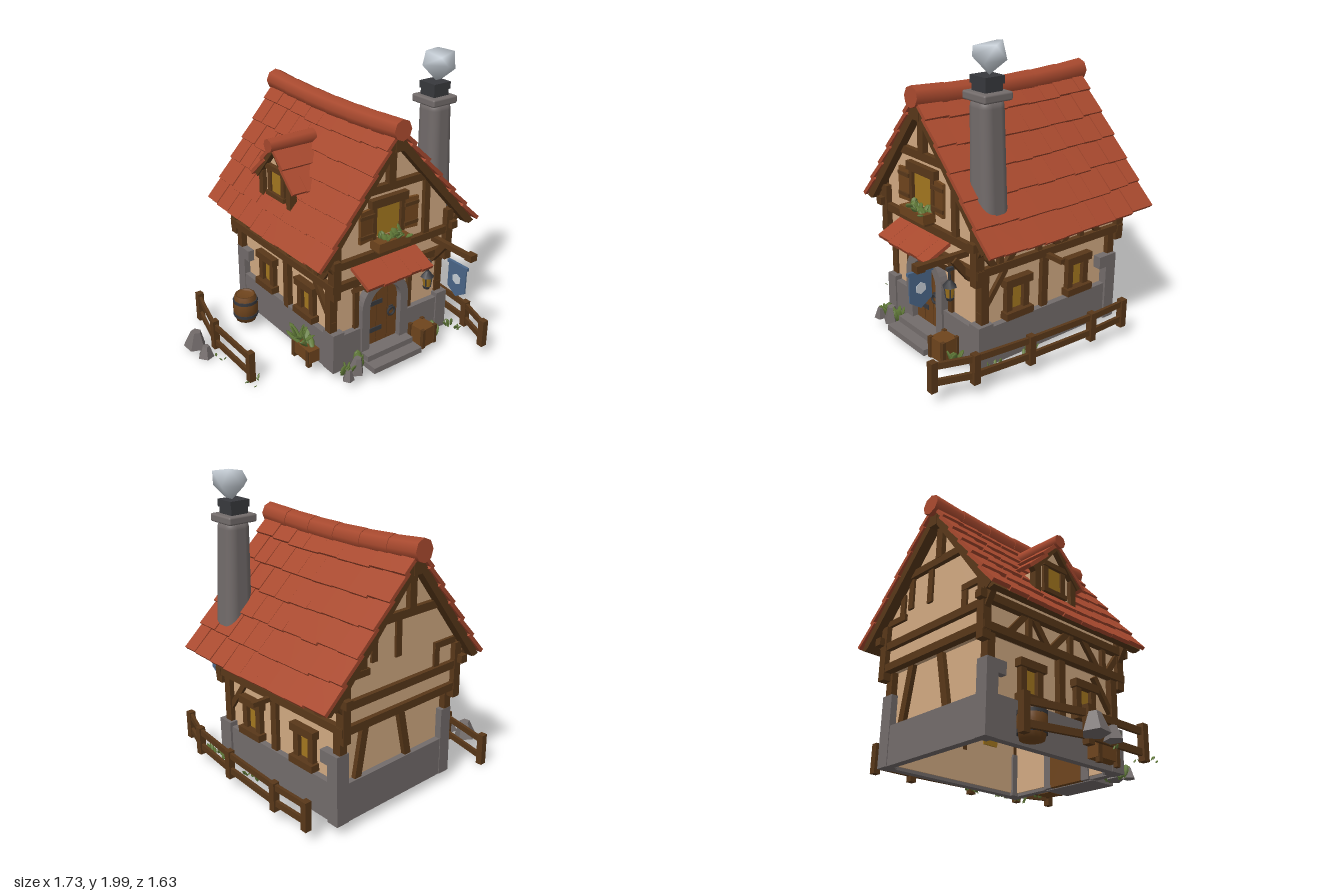
import * as THREE from 'three';
import { mergeGeometries, mergeVertices } from 'three/addons/utils/BufferGeometryUtils.js';
import { RoundedBoxGeometry } from 'three/addons/geometries/RoundedBoxGeometry.js';
import { ConvexGeometry } from 'three/addons/geometries/ConvexGeometry.js';

const V = (x, y, z) => new THREE.Vector3(x, y, z);
const mat = (name, color) => Object.assign(new THREE.MeshStandardMaterial({ color }), { name });

export function createModel() {
  const root = new THREE.Group();
  root.name = 'cottage';
  const red = mat('roofTile', 0xa8492e), plaster = mat('plaster', 0xd2aa82), timber = mat('timber', 0x593819),
    wood = mat('wood', 0x6e441d), stone = mat('stone', 0x736c6b), iron = mat('iron', 0x38393d),
    glass = mat('glass', 0xa3771f), leaf = mat('leaf', 0x617a38), blue = mat('cloth', 0x4a6688), smoke = mat('smoke', 0xc6ced6);
  let seed = 7;
  const rnd = (a = 0, b = 1) => { seed = (seed * 16807) % 2147483647; return a + (b - a) * seed / 2147483647; };

  const add = (name, geo, m, parent = root) => {
    const mesh = new THREE.Mesh(geo, m);
    mesh.name = name;
    parent.add(mesh);
    return mesh;
  };
  const group = (name, x = 0, y = 0, z = 0, ry = 0) => {
    const g = new THREE.Group();
    g.name = name; g.position.set(x, y, z); g.rotation.y = ry;
    root.add(g);
    return g;
  };
  // box given by its limits on each axis
  const box = (name, m, x0, x1, y0, y1, z0, z1, parent) => {
    const b = add(name, new THREE.BoxGeometry(x1 - x0, y1 - y0, z1 - z0), m, parent);
    b.position.set((x0 + x1) / 2, (y0 + y1) / 2, (z0 + z1) / 2);
    return b;
  };
  // square timber between two points
  const beam = (name, a, b, w = 0.045, d = w, m = timber, parent = root) => {
    const s = add(name, new THREE.BoxGeometry(w, d, a.distanceTo(b)), m, parent);
    s.position.copy(a).add(b).multiplyScalar(0.5);
    parent.updateWorldMatrix(true, false);
    s.lookAt(parent.localToWorld(b.clone()));
    return s;
  };
  const extrude = (name, m, shape, depth, parent) =>
    add(name, new THREE.ExtrudeGeometry(shape, { depth, bevelEnabled: false, curveSegments: 10 }), m, parent);
  const poly = pts => new THREE.Shape(pts.map(p => new THREE.Vector2(...p)));

  // overlapping tiles laid over a slope
  const tiles = (name, start, down, along, rows, cols, sag = () => 0) => {
    const X = down.clone().normalize(), Z = along.clone().normalize(), Y = Z.clone().cross(X);
    const len = down.length() / rows, wid = along.length() / cols, list = [];
    for (let r = 0; r < rows; r++) {
      const cuts = [0];
      for (let c = 1; c < cols; c++) cuts.push((c + (r % 2 ? 0.22 : -0.22) + rnd(-0.12, 0.12)) * wid);
      cuts.push(along.length());
      for (let c = 0; c < cols; c++) {
        const g = new THREE.BoxGeometry(len * 1.18, 0.024, cuts[c + 1] - cuts[c] - 0.0005);
        g.rotateZ(0.1 + rnd(-0.012, 0.012));
        g.rotateY(rnd(-0.015, 0.015));
        g.applyMatrix4(new THREE.Matrix4().makeBasis(X, Y, Z));
        const p = start.clone().addScaledVector(X, (r + 0.5) * len + rnd(-0.006, 0.006))
          .addScaledVector(Z, (cuts[c] + cuts[c + 1]) / 2).addScaledVector(Y, -0.012);
        g.translate(p.x, p.y + sag(p.z), p.z);
        list.push(g);
      }
    }
    return add(name, mergeGeometries(list), red);
  };

  // lower walls and stone footing, open underneath
  box('lowerFrontWall', plaster, -0.24, 0.62, 0.1, 0.7, 0.38, 0.4);
  box('lowerBackWall', plaster, -0.24, 0.62, 0.1, 0.7, -0.64, -0.62);
  for (const x of [-0.24, 0.6]) box('lowerSideWall', plaster, x, x + 0.02, 0.1, 0.7, -0.63, 0.39);
  box('frontFooting', stone, -0.28, -0.05, 0.08, 0.33, 0.39, 0.44);
  box('frontFooting', stone, 0.31, 0.66, 0.08, 0.33, 0.39, 0.44);
  box('backFooting', stone, -0.28, 0.66, 0.08, 0.33, -0.68, -0.63);
  box('leftFooting', stone, -0.28, -0.23, 0.08, 0.33, -0.67, 0.43);
  box('rightFooting', stone, 0.61, 0.66, 0.08, 0.33, -0.67, 0.43);
  for (const [x0, x1] of [[-0.285, -0.2], [0.585, 0.675]]) {
    box('frontQuoin', stone, x0, x1, 0.08, 0.36, 0.34, 0.45);
    box('backQuoin', stone, x0, x1, 0.08, 0.45, -0.685, -0.6);
    box('backQuoinTop', stone, x0, x1, 0.45, 0.53, -0.685, -0.54);
  }

  // upper storey with both gables
  const gable = poly([[-0.27, 0.7], [0.64, 0.7], [0.64, 1.03], [0.15, 1.56], [-0.27, 1.03]]);
  extrude('frontGable', plaster, gable, 0.02).position.z = 0.41;
  extrude('backGable', plaster, gable, 0.02).position.z = -0.7;
  for (const x of [-0.27, 0.62]) box('upperSideWall', plaster, x, x + 0.02, 0.7, 1.02, -0.69, 0.42);
  box('upperFloor', plaster, -0.27, 0.64, 0.68, 0.7, -0.69, 0.42);

  // main timber frame
  for (const z of [0.44, -0.705]) {
    beam('floorBeam', V(-0.3, 0.695, z), V(0.68, 0.695, z), 0.05);
    beam('tieBeam', V(-0.3, 0.84, z), V(0.67, 0.84, z), 0.05);
    beam('collarBeam', V(-0.1, 1.27, z), V(0.42, 1.27, z), 0.05);
    beam('kingPost', V(0.14, 1.29, z), V(0.14, 1.53, z), 0.055);
    const zr = z > 0 ? 0.475 : -0.745;
    beam('rightRafter', V(0.15, 1.575, zr), V(0.78, 0.88, zr), 0.06, 0.05);
    beam('leftRafter', V(0.15, 1.575, zr), V(-0.38, 0.89, zr), 0.06, 0.05);
    box('apexBlock', timber, 0.12, 0.19, 1.5, 1.58, zr - 0.035, zr + 0.035);
    for (const x of [-0.27, 0.645]) {
      box('upperCornerPost', timber, x - 0.028, x + 0.028, 0.62, 0.98, z - 0.03, z + 0.03);
      const s = x < 0 ? -1 : 1;
      beam('eaveBracket', V(x, 0.8, z), V(x + s * 0.09, 0.95, z), 0.04);
    }
  }
  for (const [x, s] of [[-0.28, -1], [0.65, 1]]) {
    beam('sideFloorBeam', V(x, 0.7, -0.73), V(x, 0.7, 0.47), 0.05);
    beam('sidePlate', V(x + s * 0.01, 0.875, -0.77), V(x + s * 0.01, 0.875, 0.5), 0.05);
    const braces = [[0.32, 0.43], [0.23, 0.1], [-0.19, -0.05], [-0.21, -0.33], [-0.53, -0.4]];
    for (const [a, b] of braces) beam('sideBrace', V(x, 0.71, a), V(x, 0.86, b), 0.03, 0.04);
    for (const z of [0.28, -0.02, -0.37]) beam('sideStud', V(x, 0.7, z), V(x, 0.87, z), 0.035);
    const xl = x - s * 0.025;
    beam('lowerMidPost', V(xl, 0.31, -0.085), V(xl, 0.68, -0.085), 0.05);
    beam('lowerFrontPost', V(xl, 0.33, 0.385), V(xl, 0.68, 0.385), 0.055);
    beam('lowerBackPost', V(xl, 0.33, -0.655), V(xl, 0.68, -0.655), 0.055);
    beam('lowerBrace', V(xl, 0.42, 0.4), V(xl, 0.66, 0.22), 0.035);
  }
  beam('beamEnd', V(0.62, 0.68, -0.08), V(0.8, 0.68, -0.08), 0.03);
  for (const x of [-0.08, 0.36]) beam('doorPost', V(x, 0.33, 0.405), V(x, 0.68, 0.405), 0.035);
  beam('gableStud', V(0.45, 0.85, 0.435), V(0.44, 1.28, 0.435), 0.045);
  for (const [x, y0, y1] of [[0.5, 0.98, 1.16], [0.23, 1.02, 1.27], [-0.1, 0.86, 1.02], [0.42, 1.04, 1.27]])
    beam('backStud', V(x, y0, -0.7), V(x, y1, -0.7), 0.045, 0.03);
  beam('backRail', V(0.46, 1, -0.7), V(0.64, 1, -0.7), 0.04);
  beam('backRail', V(-0.26, 1, -0.7), V(-0.08, 1, -0.7), 0.04);
  beam('backBrace', V(0.5, 0.32, -0.645), V(0.43, 0.69, -0.645), 0.05);
  beam('backBrace', V(0.08, 0.32, -0.645), V(0.16, 0.69, -0.645), 0.05);

  // main roof
  const sag = z => -0.025 * (1 - ((z + 0.135) / 0.66) ** 2);
  const under = poly([[0.15, 1.61], [0.83, 0.865], [0.79, 0.85], [0.15, 1.555], [-0.38, 0.87], [-0.42, 0.88]]);
  extrude('roofBoards', timber, under, 1.27).position.z = -0.77;
  tiles('rightRoof', V(0.15, 1.665, -0.79), V(0.69, -0.765, 0), V(0, 0, 1.31), 6, 9, sag);
  tiles('leftRoof', V(0.15, 1.665, 0.52), V(-0.58, -0.755, 0), V(0, 0, -1.31), 6, 9, sag);
  for (let i = 0; i < 6; i++) {
    const z0 = -0.81 + i * 0.223, z1 = z0 + 0.228;
    const cap = add('ridgeTile', new THREE.CylinderGeometry(0.066, 0.07, z1 - z0, 8), red);
    cap.rotation.x = Math.PI / 2 + (sag(z0) - sag(z1)) / 0.223;
    cap.position.set(0.15, 1.638 + (sag(z0) + sag(z1)) / 2, (z0 + z1) / 2);
  }

  // dormer on the left slope
  const dormer = group('dormer', -0.27, 0, -0.155, -Math.PI / 2);
  extrude('dormerWall', plaster, poly([[-0.16, 1], [0.16, 1], [0.16, 1.22], [0, 1.41], [-0.16, 1.22]]), 0.02, dormer).position.z = -0.02;
  box('dormerGlass', glass, -0.06, 0.06, 1.1, 1.27, 0, 0.008, dormer);
  box('dormerSill', timber, -0.1, 0.1, 1.08, 1.11, -0.02, 0.03, dormer);
  for (const s of [-1, 1]) {
    box('dormerJamb', timber, s * 0.075 - 0.018, s * 0.075 + 0.018, 1.08, 1.29, -0.02, 0.02, dormer);
    box('dormerPost', timber, s * 0.155 - 0.022, s * 0.155 + 0.022, 1, 1.23, -0.02, 0.03, dormer);
    beam('dormerRafter', V(0, 1.42, 0.02), V(s * 0.2, 1.19, 0.02), 0.04, 0.04, timber, dormer);
    box('dormerCheek', plaster, s * 0.15 - 0.01, s * 0.15 + 0.01, 1, 1.2, -0.2, 0, dormer);
  }
  box('dormerLintel', timber, -0.1, 0.1, 1.26, 1.295, -0.02, 0.03, dormer);
  tiles('dormerRoof', V(0.06, 1.46, -0.155), V(0, -0.26, 0.23), V(-0.38, 0, 0), 2, 3);
  tiles('dormerRoof', V(-0.32, 1.46, -0.155), V(0, -0.26, -0.23), V(0.38, 0, 0), 2, 3);
  const dormerRidge = add('dormerRidge', new THREE.CylinderGeometry(0.045, 0.05, 0.34, 8), red);
  dormerRidge.rotation.z = Math.PI / 2;
  dormerRidge.position.set(-0.17, 1.445, -0.155);

  // leaning chimney, pot and smoke
  const stack = new RoundedBoxGeometry(0.18, 0.84, 0.18, 4, 0.06), sp = stack.attributes.position;
  for (let i = 0; i < sp.count; i++) {
    const t = sp.getY(i) / 0.84 + 0.5, k = 1.1 - 0.2 * t;
    sp.setXYZ(i, sp.getX(i) * k + 0.615 - 0.03 * t, sp.getY(i) + 1.28, sp.getZ(i) * (1.02 - 0.1 * t) + 0.33);
  }
  add('chimneyStack', stack, stone);
  add('chimneyCap', new RoundedBoxGeometry(0.2, 0.05, 0.2, 2, 0.012), stone).position.set(0.583, 1.7, 0.325);
  box('chimneyPot', iron, 0.52, 0.64, 1.72, 1.77, 0.265, 0.385);
  box('chimneyPotRim', iron, 0.513, 0.647, 1.765, 1.81, 0.258, 0.392);
  const puff = new ConvexGeometry([V(0.59, 1.81, 0.32), V(0.62, 1.82, 0.34), V(0.49, 1.915, 0.3), V(0.56, 1.985, 0.25), V(0.55, 1.97, 0.4),
    V(0.64, 2, 0.27), V(0.695, 1.985, 0.36), V(0.69, 1.9, 0.28), V(0.66, 1.89, 0.41), V(0.58, 1.92, 0.43), V(0.56, 1.89, 0.245)]);
  puff.deleteAttribute('normal');
  const softPuff = mergeVertices(puff);
  softPuff.computeVertexNormals();
  add('smokePuff', softPuff, smoke);

  // doorway
  const arch = (r, inner) => {
    const s = new THREE.Shape().moveTo(-r, 0.08).lineTo(-r, 0.46).absarc(0, 0.46, r, Math.PI, 0, true).lineTo(r, 0.08);
    if (inner) s.lineTo(inner, 0.08).lineTo(inner, 0.46).absarc(0, 0.46, inner, 0, Math.PI, false).lineTo(-inner, 0.08);
    return s;
  };
  const door = group('doorway', 0.13, 0, 0);
  extrude('doorArch', stone, arch(0.19, 0.128), 0.085, door).position.z = 0.37;
  extrude('door', wood, arch(0.13), 0.05, door).position.z = 0.365;
  for (const x of [-0.045, 0.045]) box('plankGap', timber, x - 0.002, x + 0.002, 0.16, 0.56, 0.415, 0.417, door);
  for (const y of [0.46, 0.26]) box('hinge', iron, -0.125, 0, y - 0.016, y + 0.016, 0.415, 0.422, door);
  add('doorRing', new THREE.TorusGeometry(0.028, 0.008, 6, 14), iron, door).position.set(0.075, 0.355, 0.425);
  box('doorRingPlate', iron, 0.06, 0.09, 0.36, 0.395, 0.415, 0.423, door);
  box('upperStep', stone, -0.19, 0.19, 0.08, 0.155, 0.4, 0.52, door);
  box('lowerStep', stone, -0.2, 0.2, 0.075, 0.115, 0.4, 0.6, door);

  // awning over the door
  tiles('awning', V(0.38, 0.815, 0.42), V(0, -0.1, 0.168), V(-0.52, 0, 0), 1, 5);
  for (const x of [-0.1, 0.34]) {
    beam('awningStrut', V(x, 0.6, 0.41), V(x, 0.71, 0.55), 0.03);
    beam('awningArm', V(x, 0.78, 0.42), V(x, 0.69, 0.575), 0.03);
  }
  beam('awningRail', V(-0.13, 0.695, 0.565), V(0.37, 0.695, 0.565), 0.025);

  // gable window with shutters and flower box
  const win = group('gableWindow', 0.13, 0, 0.43);
  box('windowGlass', glass, -0.105, 0.105, 0.95, 1.17, 0, 0.008, win);
  box('windowLintel', timber, -0.145, 0.145, 1.155, 1.21, 0, 0.04, win);
  for (const s of [-1, 1]) {
    box('windowJamb', timber, s * 0.112 - 0.015, s * 0.112 + 0.015, 0.94, 1.16, 0, 0.03, win);
    const sh = box('shutter', wood, s * 0.175 - 0.055, s * 0.175 + 0.055, 0.945, 1.155, 0.01, 0.03, win);
    sh.rotation.y = s * -0.15;
    for (const y of [0.985, 1.115]) box('shutterBar', timber, s * 0.175 - 0.055, s * 0.175 + 0.055, y - 0.012, y + 0.012, 0.03, 0.042, win);
  }
  box('flowerBox', wood, -0.13, 0.12, 0.885, 0.945, 0.01, 0.1, win);
  for (const x of [-0.1, 0.09]) box('flowerBoxFoot', timber, x - 0.015, x + 0.015, 0.865, 0.885, 0.01, 0.08, win);

  // side windows
  for (const [x, z, ry] of [[0.62, 0.135, 1], [0.62, -0.365, 1], [-0.24, 0.13, -1], [-0.24, -0.33, -1]]) {
    const g = group('sideWindow', x, 0, z, ry * Math.PI / 2);
    box('windowGlass', glass, -0.06, 0.06, 0.38, 0.55, -0.03, 0.008, g);
    box('windowLintel', timber, -0.105, 0.105, 0.545, 0.595, -0.01, 0.05, g);
    box('windowSill', timber, -0.105, 0.105, 0.34, 0.385, -0.01, 0.06, g);
    for (const s of [-1, 1]) box('windowJamb', timber, s * 0.066 - 0.022, s * 0.066 + 0.022, 0.36, 0.57, -0.01, 0.035, g);
  }

  // banner on its pole, and lantern
  beam('bannerPole', V(0.54, 0.79, 0.4), V(0.54, 0.79, 0.79), 0.035);
  box('poleEnd', timber, 0.515, 0.57, 0.77, 0.815, 0.74, 0.795);
  beam('poleBracket', V(0.55, 0.63, 0.42), V(0.55, 0.78, 0.54), 0.04);
  const banner = group('banner', 0.485, 0, 0.72, Math.PI / 2);
  extrude('bannerCloth', blue, poly([[-0.075, 0.73], [-0.075, 0.56], [0, 0.51], [0.075, 0.56], [0.075, 0.73]]), 0.01, banner).position.z = -0.005;
  box('bannerRod', blue, -0.085, 0.085, 0.725, 0.745, -0.01, 0.01, banner);
  const spot = add('bannerSpot', new THREE.CylinderGeometry(0.037, 0.037, 0.016, 6), smoke, banner);
  spot.rotation.x = Math.PI / 2; spot.position.y = 0.635;
  const lantern = group('lantern', 0.45, 0, 0.49);
  const cyl = (name, m, r1, r2, y0, y1) => add(name, new THREE.CylinderGeometry(r1, r2, y1 - y0, 6), m, lantern).position.y = (y0 + y1) / 2;
  cyl('lanternGlass', glass, 0.033, 0.024, 0.49, 0.56);
  cyl('lanternBase', iron, 0.03, 0.02, 0.47, 0.49);
  cyl('lanternHood', iron, 0.012, 0.046, 0.558, 0.6);
  cyl('lanternHook', iron, 0.008, 0.008, 0.6, 0.67);
  for (let i = 0; i < 3; i++) {
    const a = i * 2.094 + 0.52;
    beam('lanternBar', V(0.024 * Math.cos(a), 0.48, 0.024 * Math.sin(a)), V(0.034 * Math.cos(a), 0.565, 0.034 * Math.sin(a)), 0.007, 0.007, iron, lantern);
  }
  beam('lanternArm', V(0.45, 0.67, 0.4), V(0.45, 0.67, 0.51), 0.02, 0.02, iron);

  // fences
  const fence = (pts, y0, h, rails) => pts.forEach(([x, z], i) => {
    box('fencePost', timber, x - 0.022, x + 0.022, y0, y0 + h, z - 0.022, z + 0.022);
    if (i) for (const y of rails) beam('fenceRail', V(pts[i - 1][0], y, pts[i - 1][1]), V(x, y, z), 0.02, 0.04);
  });
  fence([[0.69, 0.79], [0.77, 0.55], [0.81, 0.165], [0.835, -0.315], [0.83, -0.595]], 0.095, 0.19, [0.255, 0.15]);
  fence([[-0.6, -0.71], [-0.69, -0.335], [-0.69, 0.12]], 0.015, 0.215, [0.185, 0.065]);

  // barrel, crate and planter
  const barrel = group('barrel', -0.385, 0.08, -0.44);
  add('barrelStaves', new THREE.LatheGeometry([[0, 0], [0.07, 0], [0.085, 0.06], [0.088, 0.1], [0.085, 0.14], [0.072, 0.195], [0.062, 0.195], [0.06, 0.18], [0, 0.18]]
    .map(p => new THREE.Vector2(...p)), 12), wood, barrel);
  for (const y of [0.045, 0.15])
    add('barrelHoop', new THREE.CylinderGeometry(0.087, 0.087, 0.022, 12), iron, barrel).position.y = y;
  const crate = group('crate', 0.413, 0.08, 0.51, 0.1);
  box('crateBody', wood, -0.06, 0.06, 0, 0.135, -0.06, 0.06, crate);
  for (const sx of [-1, 1]) for (const sz of [-1, 1])
    box('crateCorner', timber, sx * 0.056 - 0.012, sx * 0.056 + 0.012, 0, 0.14, sz * 0.056 - 0.012, sz * 0.056 + 0.012, crate);
  box('planter', wood, -0.37, -0.29, 0.11, 0.2, 0.11, 0.31);
  for (const z of [0.13, 0.29]) box('planterLeg', timber, -0.375, -0.345, 0.08, 0.2, z - 0.015, z + 0.015);

  // plants: pointed leaves leaning outward
  const plant = (name, x, y, z, sx, sz, h, r, n, lean = 0.9) => {
    const list = [];
    for (let i = 0; i < n; i++) {
      const a = rnd(0, 6.28), g = new THREE.SphereGeometry(1, 6, 4);
      g.scale(r, h * rnd(0.4, 0.55), r * 0.35);
      g.translate(0, h * 0.45, 0);
      g.rotateX(rnd(0.1, lean));
      g.rotateY(a);
      g.translate(x + sx * rnd(-1, 1), y, z + sz * rnd(-1, 1));
      list.push(g);
    }
    add(name, mergeGeometries(list), leaf);
  };
  plant('windowFlowers', 0.13, 0.93, 0.495, 0.1, 0.03, 0.07, 0.024, 18, 1.4);
  plant('planterLeaves', -0.33, 0.19, 0.21, 0.02, 0.08, 0.13, 0.022, 16, 1.2);
  plant('frontShrub', -0.12, 0.08, 0.5, 0.02, 0.02, 0.12, 0.032, 6, 0.5);
  plant('cornerShrub', -0.22, 0.08, 0.5, 0.03, 0.03, 0.1, 0.028, 6, 0.6);
  plant('crateShrub', 0.5, 0.08, 0.5, 0.02, 0.03, 0.1, 0.028, 5, 0.5);
  for (const [z, n] of [[0.5, 9], [0.36, 8], [0.1, 8]]) plant('grass', 0.7, 0.08, z, 0.025, 0.07, 0.06, 0.011, n);
  for (const [x, z] of [[-0.73, -0.2], [-0.73, 0.17], [-0.65, 0.13]]) plant('grass', x, 0.02, z, 0.02, 0.04, 0.03, 0.008, 3);

  // loose rocks
  const rock = (x, y, z, r, h, turn) => {
    const g = new THREE.CylinderGeometry(r * 0.45, r, h, 5).toNonIndexed();
    g.computeVertexNormals();
    const m = add('rock', g, stone);
    m.position.set(x, y + h / 2, z);
    m.rotation.set(0.08, turn, -0.1);
  };
  rock(-0.8, 0.03, -0.41, 0.078, 0.115, 0.4);
  rock(-0.8, 0.025, -0.27, 0.055, 0.08, 1);
  rock(-0.15, 0.08, 0.52, 0.055, 0.11, 0.2);
  rock(-0.24, 0.08, 0.55, 0.04, 0.07, 0.9);
  return root;
}
